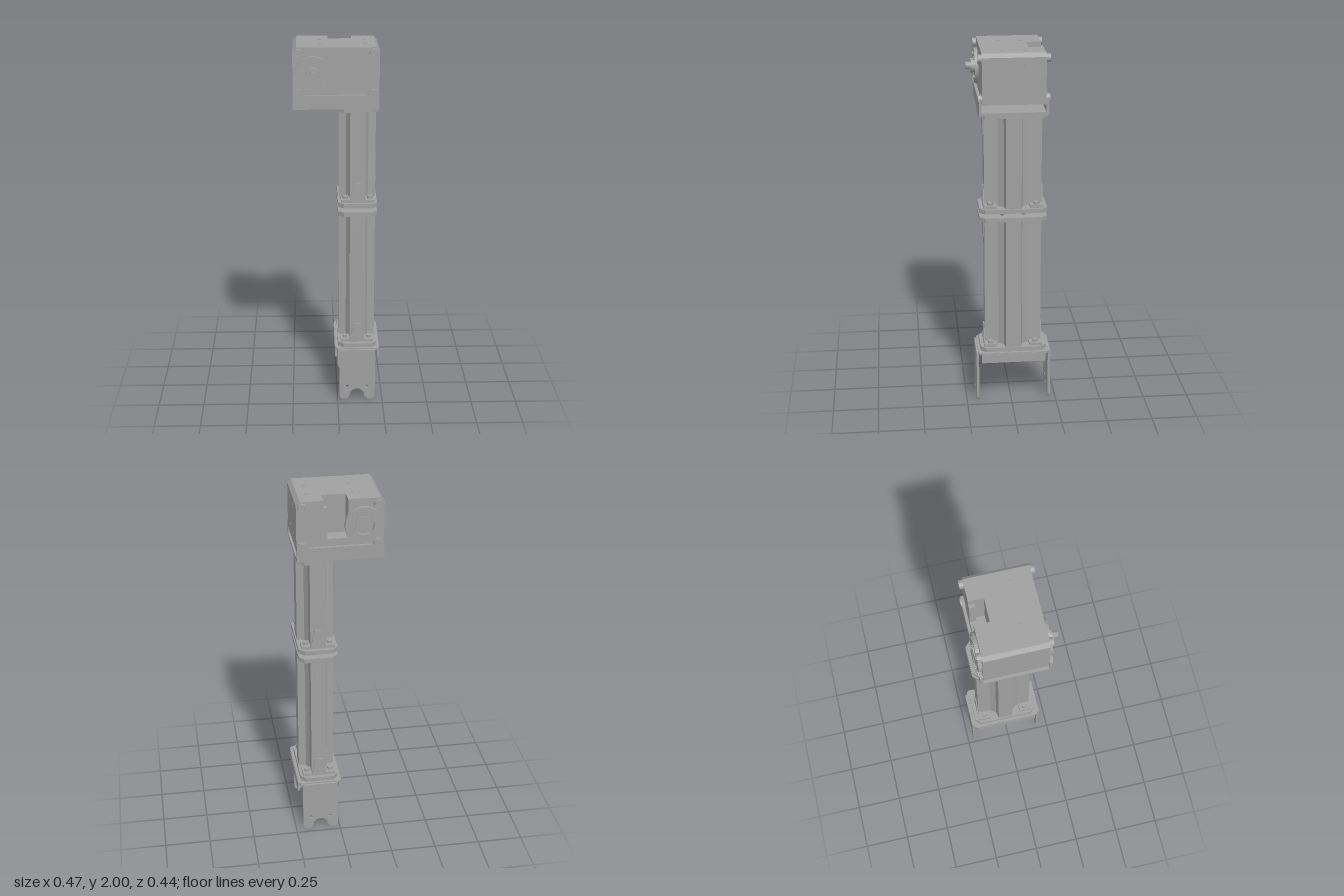
import * as THREE from 'three';

const grey = new THREE.MeshStandardMaterial({ color: 0xa0a0a0 });
grey.name = 'metal grey';

const AX = 0.11, AZ = -0.012; // centre line of the arm
const MX = -0.128, MY = 1.86; // axis of the motor

export function createModel() {
  const model = new THREE.Group();
  model.name = 'robotArmLink';

  const add = (name, geo, x = 0, y = 0, z = 0) => {
    const m = new THREE.Mesh(geo, grey);
    m.name = name;
    m.position.set(x, y, z);
    model.add(m);
    return m;
  };
  // Box given by its limits
  const block = (name, x0, x1, y0, y1, z0, z1) =>
    add(name, new THREE.BoxGeometry(x1 - x0, y1 - y0, z1 - z0), (x0 + x1) / 2, (y0 + y1) / 2, (z0 + z1) / 2);
  const outline = (pts) => new THREE.Shape(pts.map(([x, y]) => new THREE.Vector2(x, y)));
  const circle = (x, y, r) => new THREE.Path().absarc(x, y, r, 0, Math.PI * 2, true);
  const extrude = (shape, depth) =>
    new THREE.ExtrudeGeometry(shape, { depth, bevelEnabled: false, curveSegments: 12 });
  // Upright prism: shape y becomes -z
  const upright = (shape, h) => extrude(shape, h).rotateX(-Math.PI / 2);
  // Cylinder along z between two depths
  const disc = (name, x, y, z0, z1, r, n = 32) =>
    add(name, new THREE.CylinderGeometry(r, r, z1 - z0, n).rotateX(Math.PI / 2), x, y, (z0 + z1) / 2);
  const ring = (name, x, y, z0, z1, r, inner) => {
    const s = new THREE.Shape().absarc(x, y, r, 0, Math.PI * 2);
    s.holes.push(circle(x, y, inner));
    return add(name, extrude(s, z1 - z0), 0, 0, z0);
  };
  const octagon = (w, d, c) => outline([
    [-w + c, -d], [w - c, -d], [w, -d + c], [w, d - c], [w - c, d], [-w + c, d], [-w, d - c], [-w, -d + c],
  ]);

  // Fork bracket: top plate, side skirts and two notched legs
  const top = octagon(0.122, 0.195, 0.012);
  top.holes.push(circle(0, 0, 0.035));
  add('forkTop', upright(top, 0.012), AX, 0.297, AZ);
  for (const s of [-1, 1]) {
    const x = AX + s * 0.118;
    block('forkSkirt', x - 0.006, x + 0.006, 0.25, 0.302, AZ - 0.178, AZ + 0.178);
    const leg = new THREE.Shape();
    leg.moveTo(-0.1, 0.302);
    leg.lineTo(-0.1, 0.035);
    leg.quadraticCurveTo(-0.097, 0.005, -0.08, 0.003);
    leg.lineTo(-0.062, 0.003);
    leg.quadraticCurveTo(-0.048, 0.008, -0.042, 0.03);
    leg.absarc(0, 0.025, 0.041, Math.PI, 0, true);
    leg.quadraticCurveTo(0.048, 0.008, 0.062, 0.003);
    leg.lineTo(0.08, 0.003);
    leg.quadraticCurveTo(0.097, 0.005, 0.1, 0.035);
    leg.lineTo(0.1, 0.302);
    leg.holes.push(circle(-0.055, 0.08, 0.009), circle(0.055, 0.08, 0.009));
    add('forkLeg', extrude(leg, 0.014), AX, 0, AZ + s * 0.2 - 0.007);
  }

  // Column segments: ribbed tube with an end plate, tabs and screw lugs
  const q = [[0.1, 0.042], [0.06, 0.05], [0.042, 0.08], [0.042, 0.155]];
  const mir = (a, b) => q.map(([x, z]) => [x * a, z * b]);
  const profile = outline([
    ...mir(1, 1), ...mir(-1, 1).reverse(), ...mir(-1, -1), ...mir(1, -1).reverse(),
  ]);
  const tab = outline([[-0.042, 0], [0.042, 0], [0.02, 0.11], [-0.02, 0.11]]);
  const plate = octagon(0.106, 0.183, 0.03);
  for (const [y0, y1] of [[0.309, 1.103], [1.127, 1.68]]) {
    add('column', upright(profile, y1 - y0), AX, y0, AZ);
    for (const y of [y0, y1 - 0.024]) add('endPlate', upright(plate, 0.024), AX, y, AZ);
    for (const s of [-1, 1]) {
      add('lowerTab', extrude(tab, 0.01), AX, y0 + 0.024, AZ + s * 0.157 - 0.005);
      add('upperTab', extrude(tab, 0.01).rotateZ(Math.PI), AX, y1 - 0.024, AZ + s * 0.157 - 0.005);
      for (const t of [-1, 1]) {
        const x = AX + s * 0.066, z = AZ + t * 0.125;
        block('screwLug', x - 0.024, x + 0.024, y0 + 0.024, y0 + 0.04, z - 0.035, z + 0.035);
        add('screwHead', new THREE.CylinderGeometry(0.016, 0.016, 0.014, 6), x, y0 + 0.047, z);
      }
    }
  }
  // Small feet in the gap between the two segments
  for (const x of [-0.05, 0.05]) for (const z of [-0.058, 0.058])
    add('spacer', new THREE.CylinderGeometry(0.022, 0.01, 0.026, 12), AX + x, 1.115, AZ + z);

  // Motor housing: front part whole, rear part notched from above
  const xl = -0.235, xr = 0.221, yb = 1.73, c = 0.02;
  const ends = [[xl, yb], [xr, yb], [xr, 2 - c], [xr - c, 2]];
  const left = [[xl + c, 2], [xl, 2 - c]];
  add('housingFront', extrude(outline([...ends, ...left]), 0.255), 0, 0, -0.1);
  const notched = outline([...ends, [0.08, 2], [0.08, 1.79], [-0.047, 1.79], [-0.047, 2], ...left]);
  add('housingRear', extrude(notched, 0.08), 0, 0, -0.18);
  block('notchStep', 0.06, 0.08, 1.79, 1.96, -0.18, -0.147);

  // U bracket under the housing, with screw holes
  const base = outline([[xl, -0.172], [xr, -0.172], [xr, 0.195], [xl, 0.195]]);
  base.holes.push(circle(-0.12, 0.012, 0.036));
  for (let i = 0; i < 6; i++) {
    const a = i * Math.PI / 3;
    base.holes.push(circle(-0.12 + 0.08 * Math.cos(a), 0.012 + 0.08 * Math.sin(a), 0.01));
  }
  add('bracketBase', upright(base, 0.014), 0, 1.674, 0);
  const cheek = outline([
    [xl, 1.674], [xr, 1.674], [xr, 1.765], [xr - 0.01, 1.78], [xr - 0.045, 1.78], [xr - 0.065, 1.75],
    [xl + 0.065, 1.75], [xl + 0.045, 1.78], [xl + 0.01, 1.78], [xl, 1.765],
  ]);
  for (const z of [0.157, -0.196]) add('bracketCheek', extrude(cheek, 0.015), 0, 0, z);

  // Corner screws on both faces
  for (const x of [-0.203, 0.19]) for (const y of [1.757, 1.97]) {
    ring('cornerScrew', x, y, 0.15, 0.176, 0.023, 0.012);
    ring('cornerScrew', x, y, -0.202, -0.175, 0.023, 0.012);
    disc('screwCore', x, y, 0.15, 0.168, 0.013, 6);
    disc('screwCore', x, y, -0.194, -0.175, 0.013, 6);
  }

  // Output flange and shaft at the front, idler ring at the back
  disc('frontFlange', MX, MY, 0.15, 0.17, 0.095);
  ring('frontRim', MX, MY, 0.17, 0.174, 0.095, 0.08);
  disc('hub', MX, MY, 0.16, 0.192, 0.038, 24);
  disc('shaft', MX, MY, 0.19, 0.219, 0.02, 6);
  ring('rearFlange', MX, MY, -0.2, -0.175, 0.1, 0.052);
  disc('rearCore', MX, MY, -0.188, -0.175, 0.042);
  for (let i = 0; i < 4; i++) {
    const a = Math.PI / 4 + i * Math.PI / 2;
    const x = MX + 0.075 * Math.cos(a), y = MY + 0.075 * Math.sin(a);
    disc('flangeScrew', x, y, 0.165, 0.178, 0.011, 8);
    disc('flangeScrew', x, y, -0.203, -0.195, 0.011, 8);
  }

  // Mounting points on the top and the two ends of the housing
  const stud = () => new THREE.CylinderGeometry(0.01, 0.01, 0.004, 4);
  for (const z of [-0.073, 0.046]) {
    for (const x of [-0.086, 0.151]) add('topMount', stud(), x, 2, z);
    for (const y of [1.785, 1.942])
      for (const x of [xl, xr]) add('sideMount', stud().rotateZ(Math.PI / 2), x, y, z);
  }
  return model;
}
